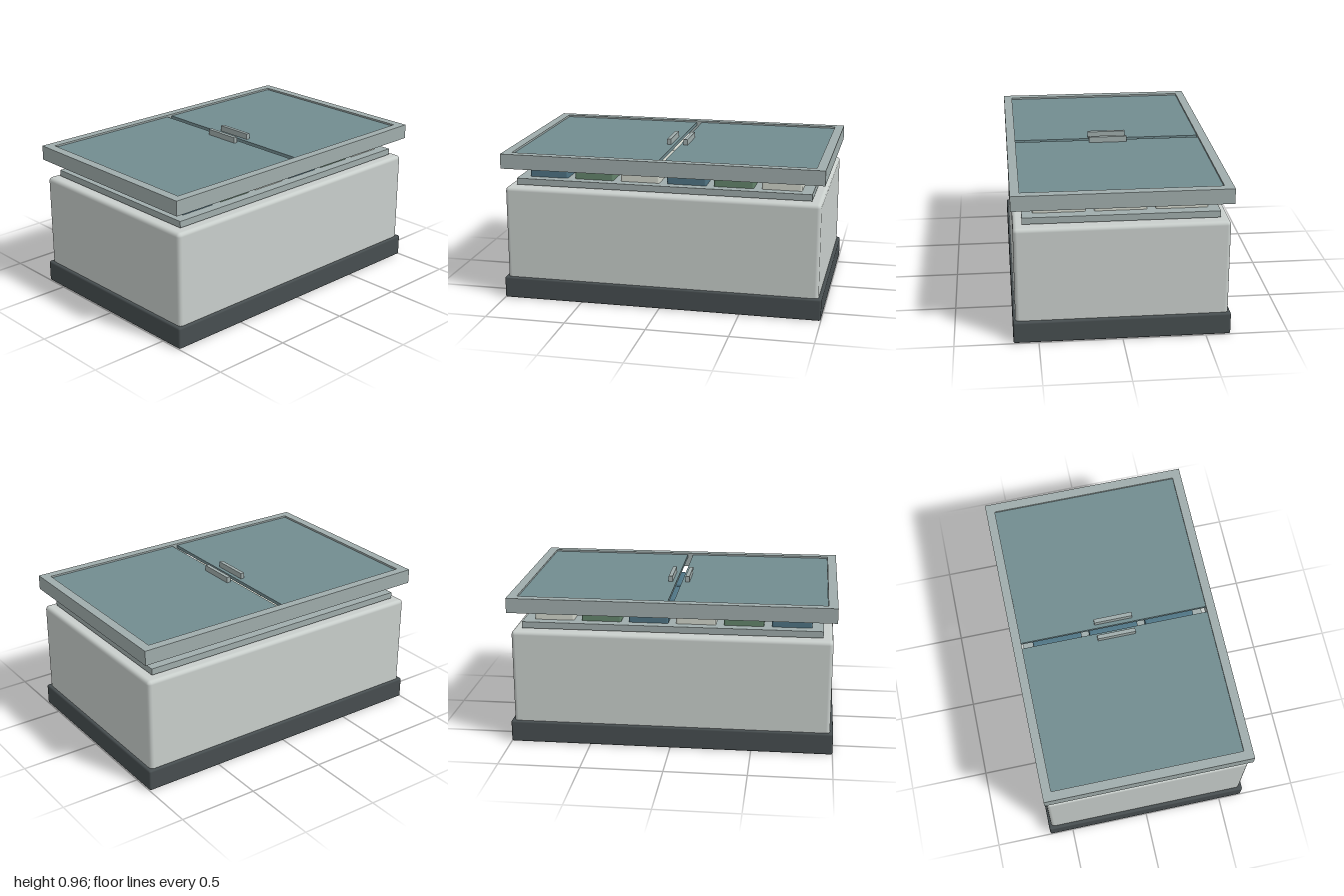
import * as THREE from 'three';
import { RoundedBoxGeometry } from 'three/addons/geometries/RoundedBoxGeometry.js';

const paint = (color) => new THREE.MeshStandardMaterial({ color });

export function createModel() {
  const model = new THREE.Group();
  const shell = paint(0xc9cfcc), metal = paint(0xa0adac), dark = paint(0x474e50);
  const glass = paint(0x728c90);
  const rowColors = [paint(0x4f7484), paint(0x64856c), paint(0xd2d6cc)];
  const tubWhite = paint(0xd4d4c6);
  tubWhite.flatShading = true;

  const add = (name, geometry, material, x, y, z) => {
    const mesh = new THREE.Mesh(geometry, material);
    mesh.name = name;
    mesh.position.set(x, y, z);
    model.add(mesh);
    return mesh;
  };
  // Box given by its bottom and top heights, rounded when a radius is set
  const block = (name, material, w, y0, y1, d, x = 0, z = 0, r = 0) => add(
    name,
    r ? new RoundedBoxGeometry(w, y1 - y0, d, 2, r) : new THREE.BoxGeometry(w, y1 - y0, d),
    material, x, (y0 + y1) / 2, z);

  // Cabinet
  block('base', dark, 1.3, 0, 0.137, 2, 0, 0, 0.012);
  block('body', shell, 1.27, 0.08, 0.72, 1.96, 0, 0, 0.024);
  block('innerDeck', metal, 1.16, 0.727, 0.767, 1.84);

  // Goods: six rows of three packs, with a round tub on every second row
  for (let row = 0; row < 6; row++) {
    const z = 0.73 - row * 0.292;
    for (const x of [-0.362, 0, 0.362]) {
      block('pack', rowColors[row % 3], 0.312, 0.74, 0.817, 0.245, x, z, 0.012);
      if (row % 2) add('tub', new THREE.CylinderGeometry(0.092, 0.092, 0.07, 10), tubWhite, x, 0.835, z);
    }
  }

  // Lid frame, open in the middle
  const outline = new THREE.Shape([[-0.645, -1], [0.645, -1], [0.645, 1], [-0.645, 1]]
    .map(([x, y]) => new THREE.Vector2(x, y)));
  outline.holes.push(new THREE.Path([[-0.59, -0.943], [-0.59, 0.943], [0.59, 0.943], [0.59, -0.943]]
    .map(([x, y]) => new THREE.Vector2(x, y))));
  const frame = new THREE.ExtrudeGeometry(outline, { depth: 0.092, bevelEnabled: false });
  frame.rotateX(-Math.PI / 2);
  add('lidFrame', frame, metal, 0, 0.84, 0);

  // Two glass panes with a gap between them, each with a handle
  for (const side of [1, -1]) {
    block('glassPane', glass, 1.18, 0.9, 0.921, 0.925, 0, side * 0.4805 - 0.002);
    block('handle', metal, 0.24, 0.92, 0.957, 0.025, 0, side * 0.054 - 0.002);
  }
  return model;
}
